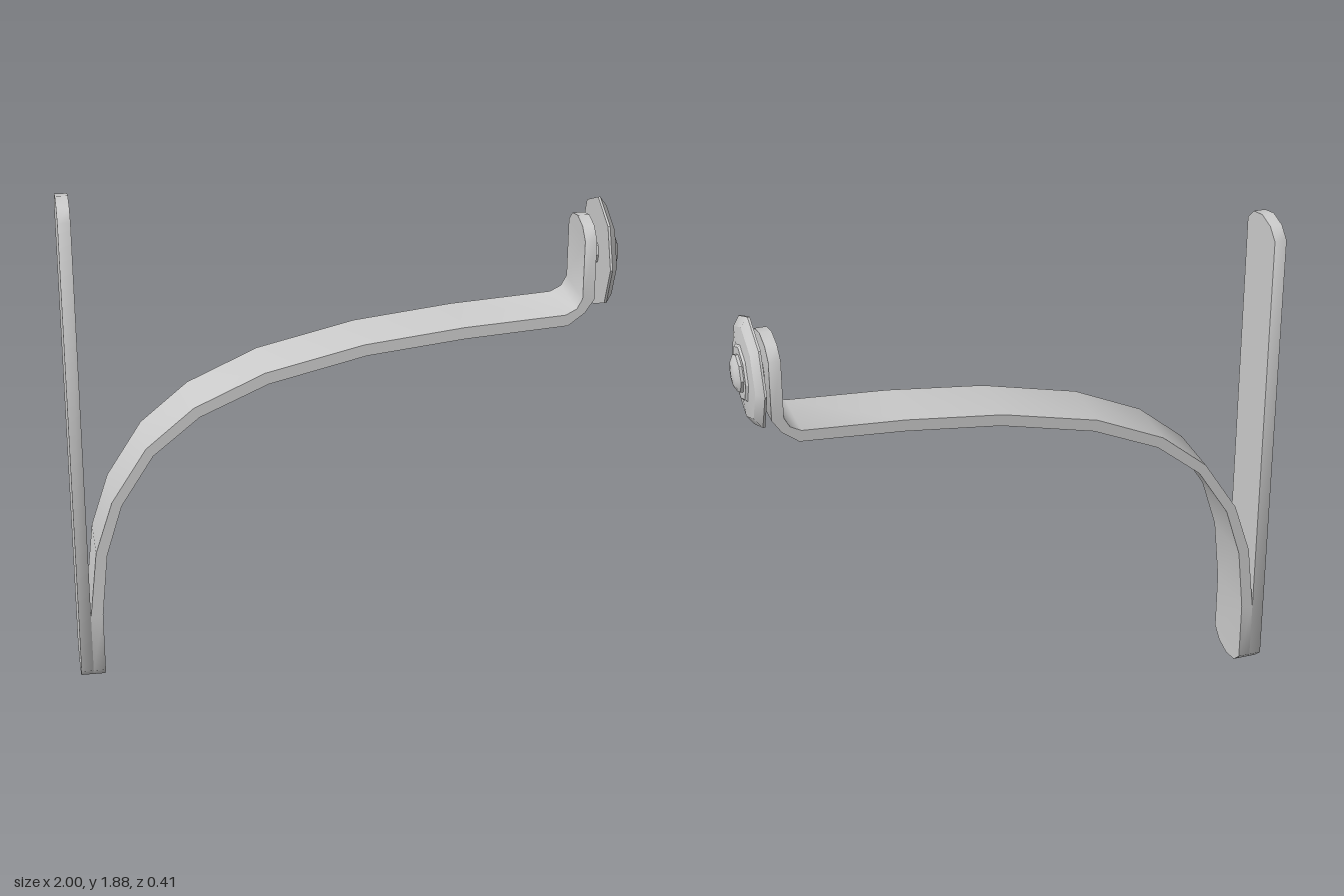
import * as THREE from 'three';
import { toCreasedNormals } from 'three/addons/utils/BufferGeometryUtils.js';

const HALF = 0.118;
// Rounded end: [distance from tip, half width]
const END = [[0, 0], [0.016, 0.073], [0.057, HALF]];

function material() {
  return new THREE.MeshStandardMaterial({ color: 0xcccccc });
}

// Flat bar from stations [ax, ay, bx, by] (left and right face),
// running upwards at both ends, which are rounded.
function bar(name, stations) {
  const first = stations[0], last = stations[stations.length - 1];
  const move = (s, d) => [s[0], s[1] + d, s[2], s[3] + d];
  const rows = [
    ...END.map(([d, w]) => [...move(first, d), w]),
    ...stations.slice(1, -1).map((s) => [...s, HALF]),
    ...END.slice().reverse().map(([d, w]) => [...move(last, -d), w]),
  ];
  const loops = rows.map(([ax, ay, bx, by, w]) => [
    new THREE.Vector3(ax, ay, w), new THREE.Vector3(bx, by, w),
    new THREE.Vector3(bx, by, -w), new THREE.Vector3(ax, ay, -w),
  ]);
  const pos = [];
  const tri = (a, b, c) => {
    if (a.equals(b) || b.equals(c) || c.equals(a)) return;
    for (const p of [a, b, c]) pos.push(p.x, p.y, p.z);
  };
  for (let i = 0; i < loops.length - 1; i++) {
    for (let k = 0; k < 4; k++) {
      const n = (k + 1) % 4, p = loops[i], q = loops[i + 1];
      tri(p[k], p[n], q[n]);
      tri(p[k], q[n], q[k]);
    }
  }
  const geometry = new THREE.BufferGeometry();
  geometry.setAttribute('position', new THREE.Float32BufferAttribute(pos, 3));
  const mesh = new THREE.Mesh(toCreasedNormals(geometry, 0.9), material());
  mesh.name = name;
  return mesh;
}

// Eight-sided turned part about the x axis, profile as [radius, x]
function turned(name, profile) {
  const points = profile.map(([r, x]) => new THREE.Vector2(r, x));
  const geometry = new THREE.LatheGeometry(points, 8);
  geometry.rotateZ(-Math.PI / 2);
  const mesh = new THREE.Mesh(toCreasedNormals(geometry.toNonIndexed(), 0.5), material());
  mesh.name = name;
  mesh.position.y = 1.56;
  return mesh;
}

export function createModel() {
  const group = new THREE.Group();
  group.name = 'curvedBracket';

  // Upright mounting plate
  group.add(bar('backPlate', [[-1, 0, -0.955, 0], [-1, 1.875, -0.955, 1.875]]));

  // Curved arm with an upturned tip
  group.add(bar('curvedArm', [
    [-0.955, 0, -0.91, 0],
    [-0.955, 0.28, -0.91, 0.29],
    [-0.925, 0.545, -0.885, 0.535],
    [-0.86, 0.745, -0.825, 0.73],
    [-0.73, 0.95, -0.705, 0.92],
    [-0.555, 1.097, -0.535, 1.06],
    [-0.298, 1.215, -0.285, 1.172],
    [0.06, 1.30, 0.068, 1.257],
    [0.42, 1.342, 0.425, 1.298],
    [0.79, 1.366, 0.80, 1.324],
    [0.83, 1.387, 0.86, 1.37],
    [0.85, 1.425, 0.893, 1.42],
    [0.85, 1.70, 0.893, 1.70],
  ]));

  // Fastener at the tip
  group.add(turned('stem', [[0, 0.88], [0.045, 0.88], [0.045, 0.93], [0, 0.93]]));
  group.add(turned('washer', [
    [0, 0.922], [0.205, 0.922], [0.205, 0.93], [0.17, 0.955],
    [0.105, 0.962], [0.097, 0.97], [0, 0.97],
  ]));
  group.add(turned('boltHead', [
    [0, 0.95], [0.07, 0.95], [0.07, 0.98], [0.045, 0.994], [0, 1],
  ]));
  return group;
}
